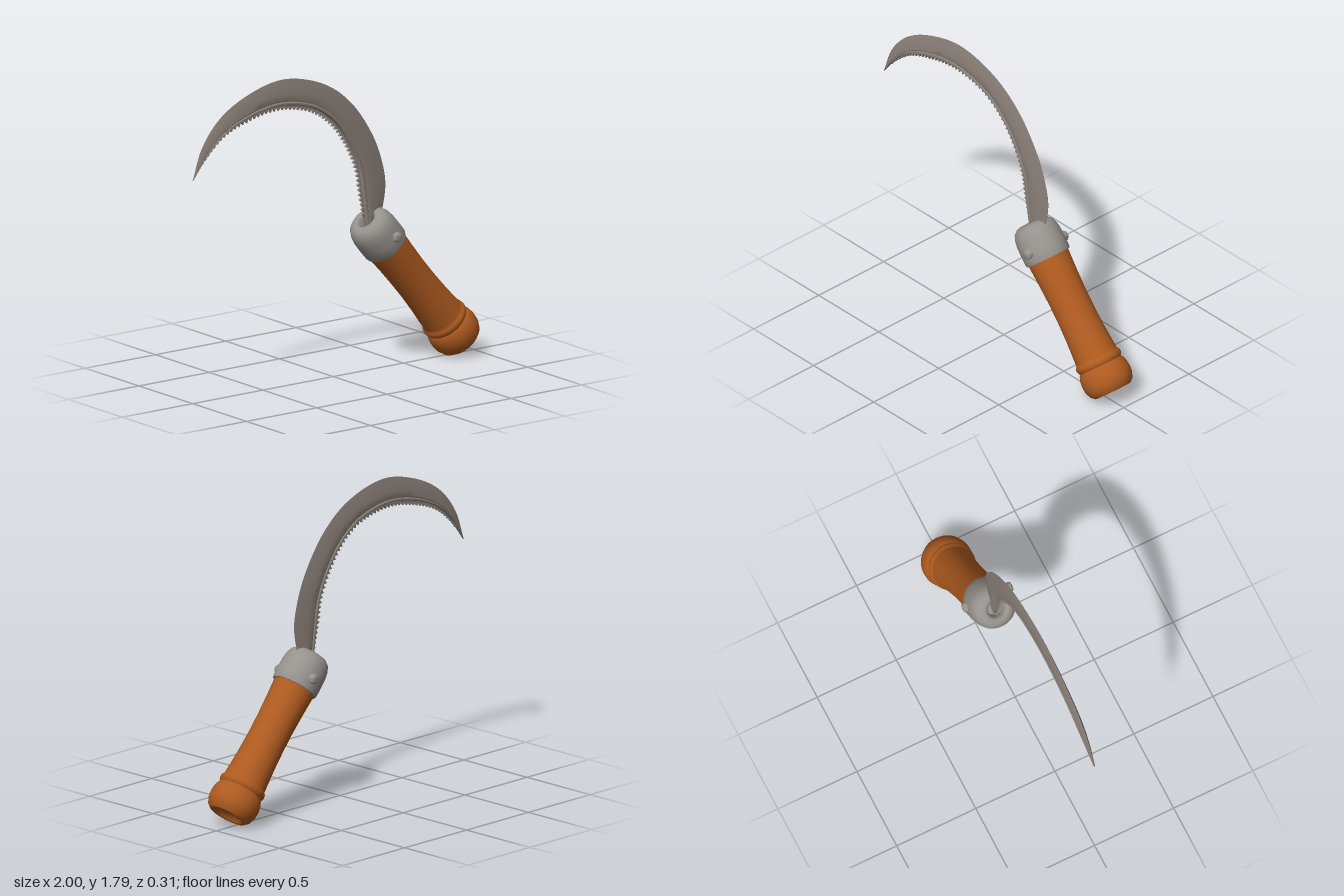
import * as THREE from 'three';
import { toCreasedNormals } from 'three/addons/utils/BufferGeometryUtils.js';

const wood = new THREE.MeshStandardMaterial({ color: 0xad5a1f });
wood.name = 'wood';
const ferruleMetal = new THREE.MeshStandardMaterial({ color: 0x96928d });
ferruleMetal.name = 'ferrule metal';
const bladeSteel = new THREE.MeshStandardMaterial({ color: 0x8a8078 });
bladeSteel.name = 'blade steel';

// Paired stations along the blade: outer x, y, inner x, y
const STATIONS = [
  [0.3, 0.8, 0.24, 0.8], [0.345, 0.93, 0.225, 0.89], [0.37, 1.08, 0.2, 1.05],
  [0.345, 1.22, 0.175, 1.2], [0.28, 1.38, 0.115, 1.34], [0.13, 1.59, 0.0, 1.5],
  [-0.06, 1.73, -0.15, 1.605], [-0.35, 1.805, -0.38, 1.655], [-0.6, 1.755, -0.6, 1.625],
  [-0.8, 1.65, -0.78, 1.55], [-0.93, 1.5, -0.9, 1.445], [-1, 1.315, -0.996, 1.318],
];
const spline = (k) => new THREE.CatmullRomCurve3(
  STATIONS.map((s) => new THREE.Vector3(s[k], s[k + 1], 0)));
const outer = spline(0);
const inner = spline(2);

// Half section from the back edge to the inner edge: fraction of width, half thickness
const SECTION = [
  [0, 0.001], [0.25, 0.009], [0.55, 0.016], [0.8, 0.018], [0.85, 0.015],
  [0.89, 0.021], [0.95, 0.021], [1, 0.009],
];

function bladeGeometry() {
  const rows = 110;
  const ring = [...SECTION, ...SECTION.map(([f, h]) => [f, -h]).reverse()];
  const n = ring.length;
  const pos = [];
  const index = [];
  for (let i = 0; i <= rows; i++) {
    const a = outer.getPoint(i / rows);
    const b = inner.getPoint(i / rows);
    const thin = Math.min(1, 0.2 + a.distanceTo(b) / 0.12);
    for (const [f, h] of ring) {
      const p = a.clone().lerp(b, f);
      pos.push(p.x, p.y, h * thin);
    }
  }
  for (let i = 0; i < rows; i++) {
    for (let j = 0; j < n; j++) {
      const a = i * n + j;
      const b = i * n + ((j + 1) % n);
      index.push(a, a + n, b + n, a, b + n, b);
    }
  }
  const g = new THREE.BufferGeometry();
  g.setAttribute('position', new THREE.Float32BufferAttribute(pos, 3));
  g.setIndex(index);
  return toCreasedNormals(g, 0.5);
}

// Saw teeth: a zigzag strip that follows the inner edge
function teethGeometry() {
  const count = 58;
  const from = 0.06;
  const to = 0.95;
  const at = (k, offset) => {
    const t = from + ((to - from) * k) / count;
    const p = inner.getPointAt(t);
    const d = inner.getTangentAt(t);
    return new THREE.Vector2(p.x - d.y * offset, p.y + d.x * offset);
  };
  const pts = [];
  for (let k = 0; k < count; k++) {
    const fade = Math.min(1, (count - k) / 14, (k + 4) / 10);
    pts.push(at(k, 0.002), at(k + 0.6, 0.005 + 0.022 * fade));
  }
  for (let k = count; k >= 0; k--) pts.push(at(k, -0.006));
  const g = new THREE.ExtrudeGeometry(new THREE.Shape(pts), { depth: 0.014, bevelEnabled: false });
  return g.translate(0, 0, -0.007);
}

function lathe(points, crease) {
  const g = new THREE.LatheGeometry(points.map(([r, y]) => new THREE.Vector2(r, y)), 40);
  return toCreasedNormals(g, crease);
}

function add(parent, name, geometry, material) {
  const mesh = new THREE.Mesh(geometry, material);
  mesh.name = name;
  parent.add(mesh);
  return mesh;
}

export function createModel() {
  const model = new THREE.Group();
  model.name = 'sickle';

  const blade = new THREE.Group();
  blade.name = 'blade';
  model.add(blade);
  add(blade, 'bladeBody', bladeGeometry(), bladeSteel);
  add(blade, 'bladeTeeth', teethGeometry(), bladeSteel);

  // Grip and ferrule share one tilted axis that starts at the butt
  const handle = new THREE.Group();
  handle.name = 'handle';
  handle.position.set(0.91, 0.085, 0);
  handle.rotation.z = THREE.MathUtils.degToRad(40);
  model.add(handle);

  // Grip with dished butt, rounded pommel and a ring
  add(handle, 'grip', lathe([
    [0, 0.03], [0.05, 0.025], [0.078, 0.012], [0.09, 0], [0.11, 0], [0.132, 0.02],
    [0.146, 0.055], [0.149, 0.09], [0.145, 0.125], [0.135, 0.153], [0.127, 0.163],
    [0.134, 0.17], [0.139, 0.185], [0.136, 0.202], [0.127, 0.212], [0.126, 0.222],
    [0.124, 0.25], [0.117, 0.36], [0.113, 0.48], [0.113, 0.6], [0.117, 0.72],
    [0.123, 0.84], [0.123, 0.9],
  ], 0.7), wood);

  // Ferrule cap with a recessed socket
  add(handle, 'ferrule', lathe([
    [0.118, 0.85], [0.122, 0.838], [0.132, 0.838], [0.136, 0.848], [0.137, 0.9],
    [0.136, 0.96], [0.13, 1.0], [0.117, 1.033], [0.094, 1.053], [0.07, 1.06],
    [0.056, 1.056], [0.05, 1.045], [0.048, 1.0], [0, 1.0],
  ], 0.8), ferruleMetal);

  // Domed rivet on each side of the ferrule
  for (const side of [1, -1]) {
    const rivet = add(model, side > 0 ? 'frontRivet' : 'backRivet', lathe([
      [0.029, 0.115], [0.029, 0.146], [0.024, 0.153], [0.012, 0.156], [0, 0.157],
    ], 0.8), ferruleMetal);
    rivet.position.set(0.35, 0.8, 0);
    rivet.rotation.x = (side * Math.PI) / 2;
  }
  return model;
}
